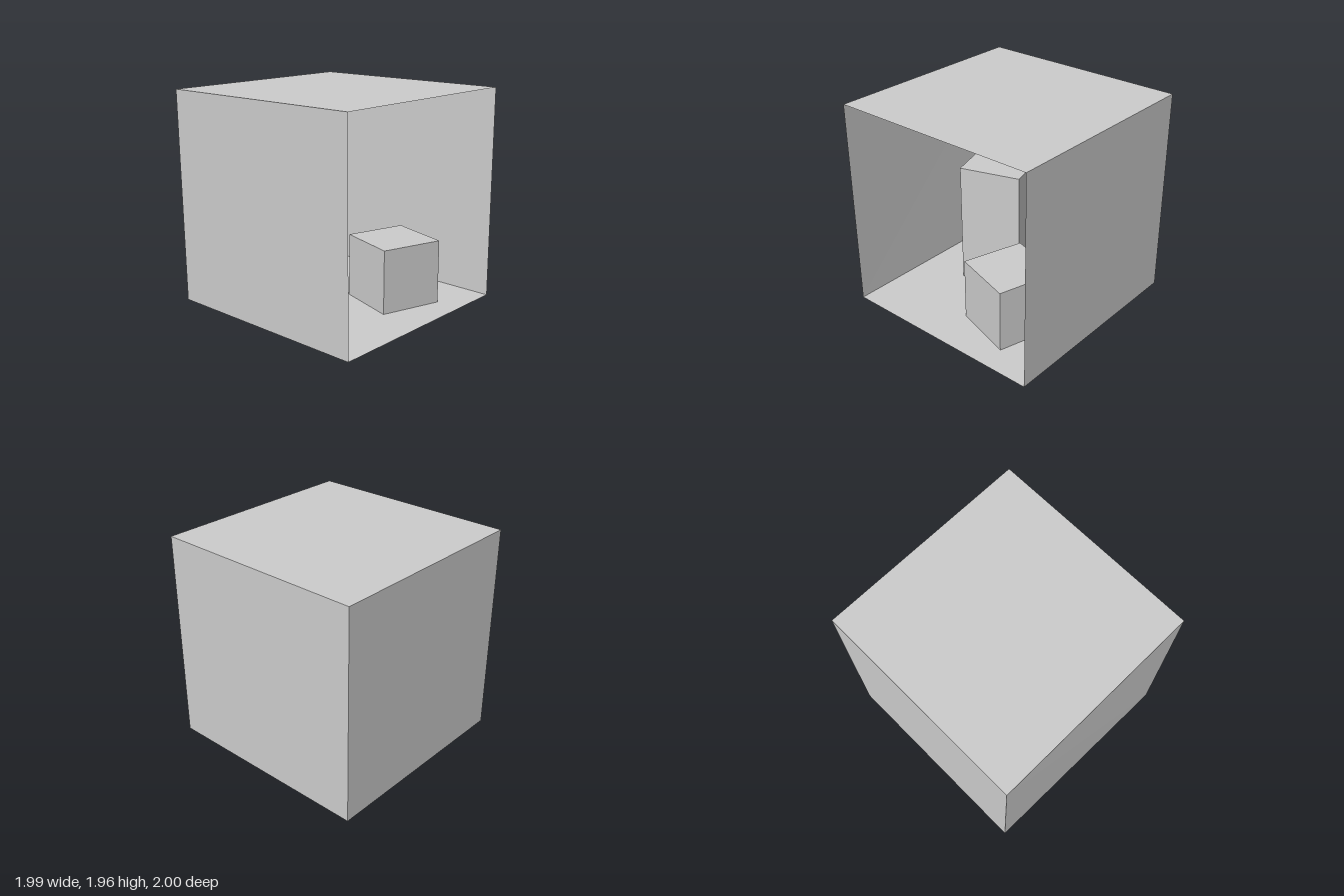
import * as THREE from 'three';

const material = new THREE.MeshStandardMaterial({ color: 0xcccccc, flatShading: true, side: THREE.DoubleSide });

// Thin four-cornered panel, corners anticlockwise seen from inside the room
function panel(name, a, b, c, d) {
  const geometry = new THREE.BufferGeometry();
  geometry.setAttribute('position', new THREE.Float32BufferAttribute([a, b, c, a, c, d].flat(), 3));
  geometry.computeVertexNormals();
  const mesh = new THREE.Mesh(geometry, material);
  mesh.name = name;
  return mesh;
}

// Upright block standing on the floor, from its [x, z] footprint
function block(name, height, footprint) {
  const shape = new THREE.Shape(footprint.map(([x, z]) => new THREE.Vector2(x, -z)));
  const geometry = new THREE.ExtrudeGeometry(shape, { depth: height, bevelEnabled: false });
  geometry.rotateX(-Math.PI / 2);
  const mesh = new THREE.Mesh(geometry, material);
  mesh.name = name;
  return mesh;
}

export function createModel() {
  const room = new THREE.Group();
  room.name = 'openRoom';

  // Room corners: the -x wall leans slightly inwards at its foot
  const W = 0.995, H = 1.96;
  const floorFrontRight = [-0.985, 0, 1], floorBackRight = [-0.966, 0, -1];
  const floorFrontLeft = [W, 0, 1], floorBackLeft = [W, 0, -1];
  const topFrontRight = [-W, H, 1], topBackRight = [-W, H, -1];
  const topFrontLeft = [W, H, 1], topBackLeft = [W, H, -1];

  room.add(
    panel('floor', floorFrontRight, floorFrontLeft, floorBackLeft, floorBackRight),
    panel('ceiling', topFrontRight, topBackRight, topBackLeft, topFrontLeft),
    panel('backWall', floorBackRight, floorBackLeft, topBackLeft, topBackRight),
    panel('leftWall', floorBackLeft, floorFrontLeft, topFrontLeft, topBackLeft),
    panel('rightWall', floorFrontRight, floorBackRight, topBackRight, topFrontRight),
  );

  // Two turned blocks inside the room
  room.add(
    block('shortBlock', 0.591, [[0.532, 0.763], [0.7, 0.192], [0.138, 0.025], [-0.039, 0.586]]),
    block('tallBlock', 1.182, [[-0.512, 0.113], [0.049, -0.064], [-0.128, -0.635], [-0.69, -0.458]]),
  );
  return room;
}
